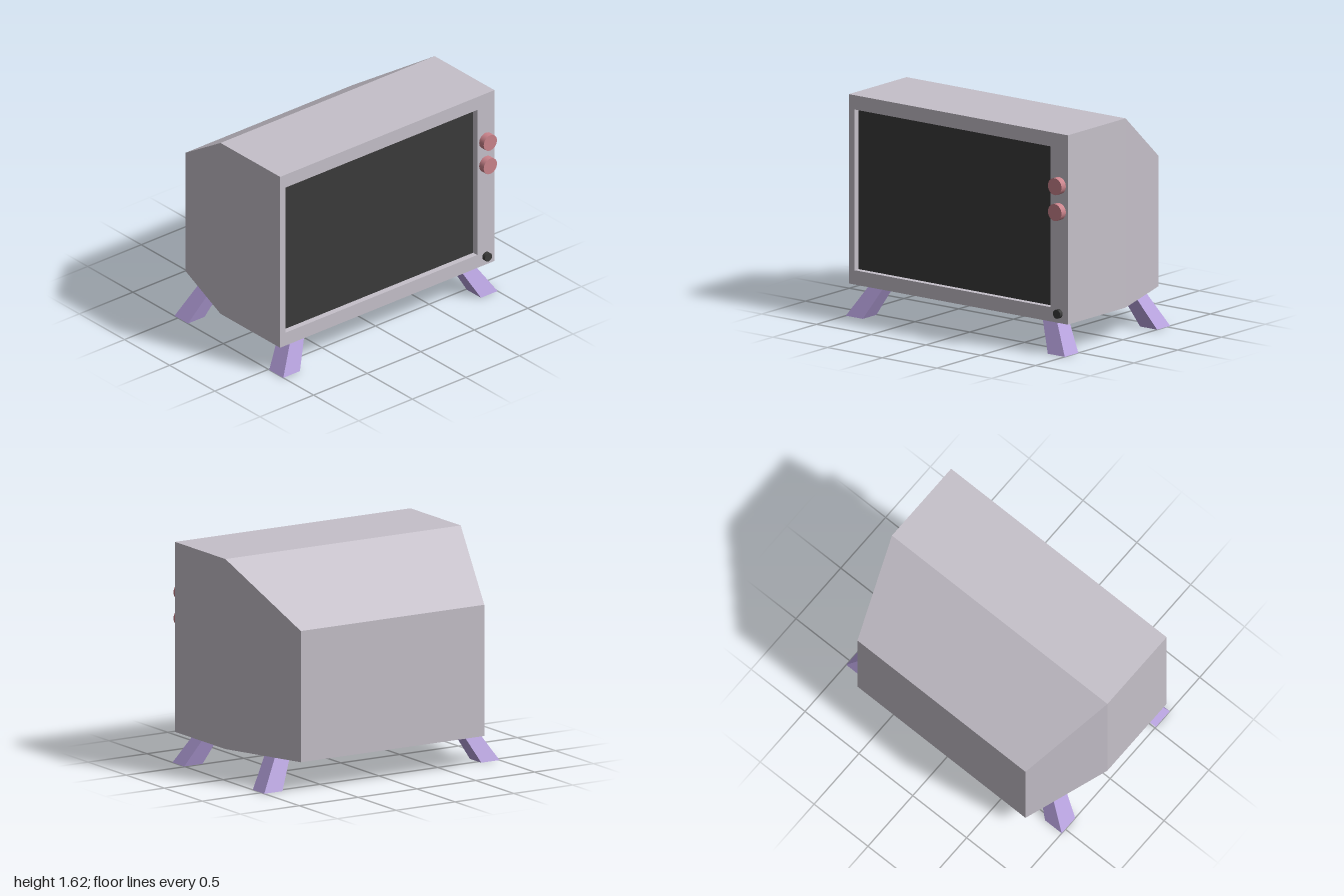
import * as THREE from 'three';

const paint = (color) => new THREE.MeshStandardMaterial({ color });

// Joins four-cornered sections into a flat-faced skin; corners run
// counter-clockwise as seen from the end the sections advance towards.
function loft(sections, startCap, endCap) {
  const pos = [];
  const quad = (a, b, c, d) => pos.push(...a, ...b, ...c, ...a, ...c, ...d);
  for (let s = 0; s < sections.length - 1; s++) {
    const a = sections[s], b = sections[s + 1];
    for (let i = 0; i < 4; i++) {
      const j = (i + 1) % 4;
      quad(a[i], a[j], b[j], b[i]);
    }
  }
  if (startCap) quad(...[...sections[0]].reverse());
  if (endCap) quad(...sections[sections.length - 1]);
  const geo = new THREE.BufferGeometry();
  geo.setAttribute('position', new THREE.Float32BufferAttribute(pos, 3));
  geo.computeVertexNormals();
  return geo;
}

// Upright rectangle at depth x, and level rectangle at height y
const upright = (x, y0, y1, z0, z1) => [[x, y0, z1], [x, y0, z0], [x, y1, z0], [x, y1, z1]];
const level = (y, x0, x1, z0, z1) => [[x0, y, z1], [x1, y, z1], [x1, y, z0], [x0, y, z0]];

export function createModel() {
  const group = new THREE.Group();
  const add = (name, geometry, material, x = 0, y = 0, z = 0) => {
    const mesh = new THREE.Mesh(geometry, material);
    mesh.name = name;
    mesh.position.set(x, y, z);
    group.add(mesh);
    return mesh;
  };
  const dark = paint(0x3a3a3a), pink = paint(0xc9838b), purple = paint(0xb5a0dc);

  const front = 0.63, recess = 0.585, base = 0.23;
  const hole = [0.335, 1.515, -0.84, 0.95];

  // Cabinet: tapered back, straight front, bezel and recess walls
  add('cabinet', loft([
    upright(-0.68, base, 1.19, -0.78, 0.78),
    upright(-0.03, base, 1.62, -1, 1),
    upright(front, base, 1.62, -1, 1),
    upright(front, ...hole),
    upright(recess, ...hole),
  ], true, false), paint(0xc5c0c9));

  // Screen sunk behind the bezel
  const [y0, y1, z0, z1] = hole;
  add('screen', new THREE.PlaneGeometry(z1 - z0, y1 - y0), dark,
    recess, (y0 + y1) / 2, (z0 + z1) / 2).rotation.y = Math.PI / 2;

  // Control knobs beside the screen
  const knob = (name, radius, depth, y, material) => {
    const geo = new THREE.CylinderGeometry(radius, radius, depth, 32).rotateZ(-Math.PI / 2);
    add(name, geo, material, front + depth / 2, y, -0.92);
  };
  knob('upperKnob', 0.062, 0.05, 1.24, pink);
  knob('lowerKnob', 0.062, 0.05, 1.05, pink);
  knob('powerButton', 0.033, 0.03, 0.3, dark);

  // Splayed, slightly tapered legs: x range at the foot, x range at the top
  const legs = { front: [[0.51, 0.665], [0.445, 0.575]], back: [[-0.54, -0.39], [-0.455, -0.325]] };
  for (const [end, [foot, top]] of Object.entries(legs)) {
    for (const side of [1, -1]) {
      const span = (a, b) => (side > 0 ? [a, b] : [-b, -a]);
      add(`${end}${side > 0 ? 'Right' : 'Left'}Leg`, loft([
        level(0, ...foot, ...span(0.845, 1)),
        level(base, ...top, ...span(0.725, 0.855)),
      ], true, true), purple);
    }
  }
  return group;
}
